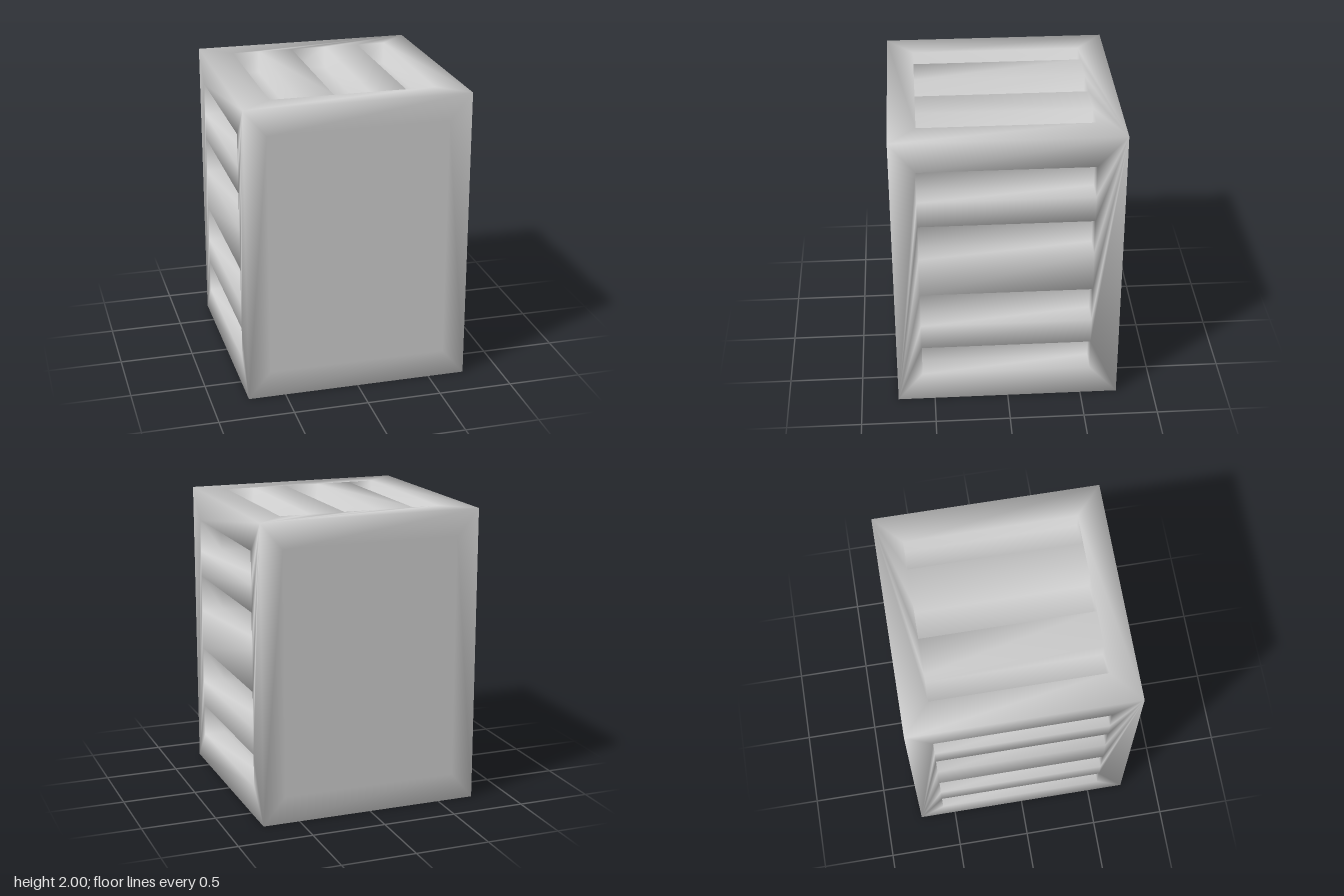
import * as THREE from 'three';
import { mergeGeometries, mergeVertices } from 'three/addons/utils/BufferGeometryUtils.js';

const W = 1.5, H = 2, DEPTH = 0.15;

const corners = (x0, x1, y0, y1) => [[x0, y0], [x1, y0], [x1, y1], [x0, y1]];

// Recess: floor at -depth plus four walls facing inward
function recess(rect, depth) {
  const c = corners(...rect);
  const pos = [...c.map(([x, y]) => [x, y, 0]), ...c.map(([x, y]) => [x, y, -depth])].flat();
  const index = [4, 5, 6, 4, 6, 7];
  if (depth > 0) {
    for (let i = 0; i < 4; i++) {
      const j = (i + 1) % 4;
      index.push(i, j, j + 4, i, j + 4, i + 4);
    }
  }
  const g = new THREE.BufferGeometry();
  g.setAttribute('position', new THREE.Float32BufferAttribute(pos, 3));
  g.setIndex(index);
  return g;
}

// Flat panel facing +z, pierced by rectangles that are filled with recesses
function panel(w, h, rects, depth, offset) {
  const toPoints = (r) => corners(...r).map(([x, y]) => new THREE.Vector2(x, y));
  const shape = new THREE.Shape(toPoints([-w / 2, w / 2, -h / 2, h / 2]));
  rects.forEach((r) => shape.holes.push(new THREE.Path(toPoints(r).reverse())));
  const face = new THREE.ShapeGeometry(shape);
  face.deleteAttribute('normal');
  face.deleteAttribute('uv');
  return mergeGeometries([face, ...rects.map((r) => recess(r, depth))]).translate(0, 0, offset);
}

export function createModel() {
  const group = new THREE.Group();
  group.name = 'slottedBlock';

  // Four horizontal slots on each side, three long slots on top and bottom
  const sideSlots = [[0.21, 0.43], [0.61, 0.86], [1.14, 1.39], [1.57, 1.79]]
    .map(([a, b]) => [-0.58, 0.56, a - H / 2, b - H / 2]);
  const topSlots = [[-0.54, -0.36], [-0.12, 0.12], [0.36, 0.555]]
    .map(([a, b]) => [a, b, -0.57, 0.57]);
  // Plain front and back keep a flush inner field that flattens the shading
  const field = [[-0.6, 0.6, -0.82, 0.82]];

  const parts = [];
  for (const turn of [0, Math.PI]) {
    parts.push(panel(W, H, field, 0, W / 2).rotateY(turn));
    parts.push(panel(W, H, sideSlots, DEPTH, W / 2).rotateY(turn + Math.PI / 2));
    parts.push(panel(W, W, topSlots, DEPTH, H / 2).rotateX(turn - Math.PI / 2));
  }

  // Weld the panels so the whole block shades smoothly
  const geometry = mergeVertices(mergeGeometries(parts), 1e-3);
  geometry.computeVertexNormals();
  geometry.translate(0, H / 2, 0);

  const body = new THREE.Mesh(geometry, new THREE.MeshStandardMaterial({ color: 0xcccccc }));
  body.name = 'slottedBody';
  group.add(body);
  return group;
}
